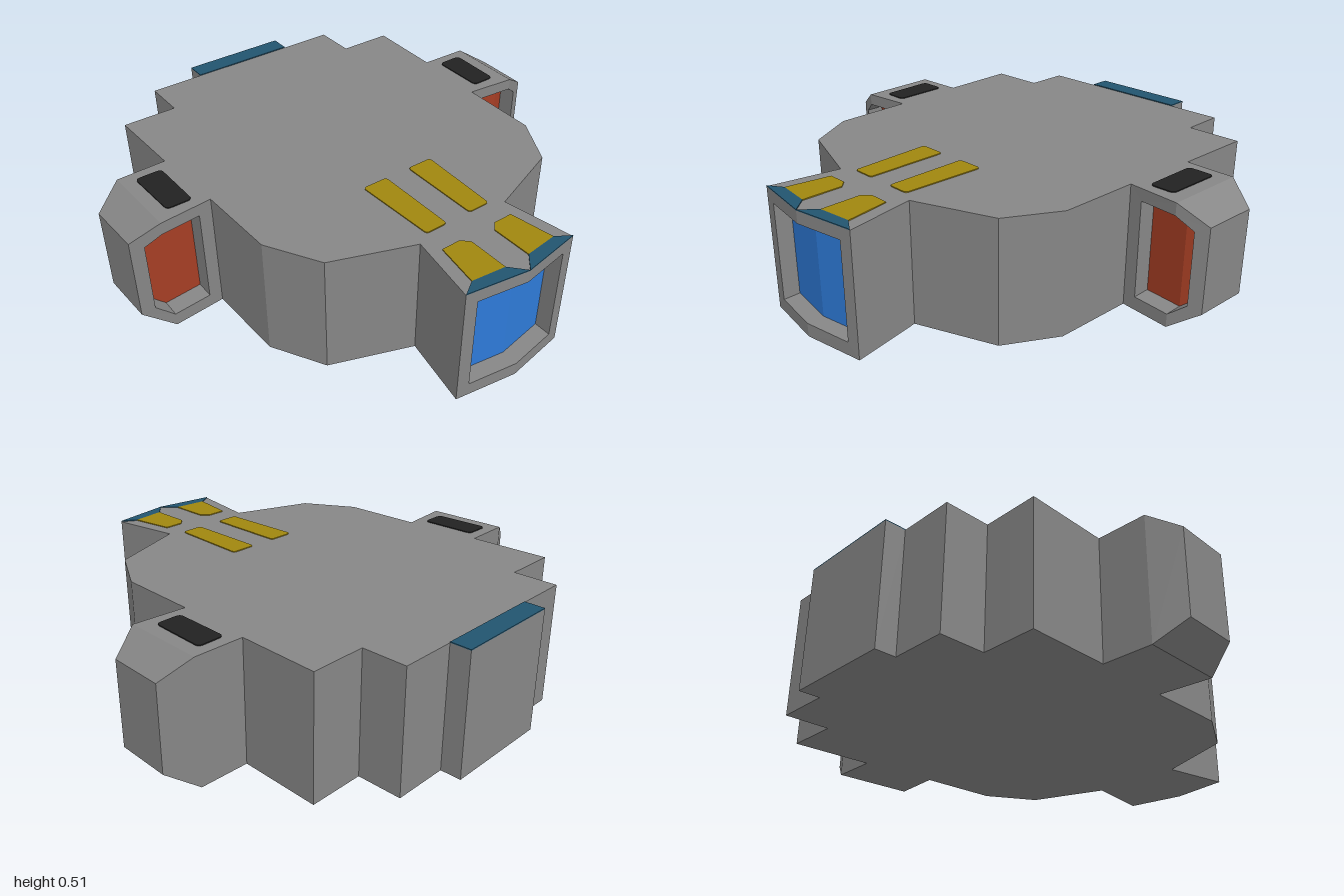
import * as THREE from 'three';

const H = 0.505; // hull height

const paint = (name, color) => {
  const m = new THREE.MeshStandardMaterial({ color });
  m.name = name;
  return m;
};

// Flat-shaded geometry from a list of convex polygons (counter-clockwise from outside)
function facets(polys) {
  const pos = [];
  for (const p of polys)
    for (let i = 1; i < p.length - 1; i++) pos.push(...p[0], ...p[i], ...p[i + 1]);
  const g = new THREE.BufferGeometry();
  g.setAttribute('position', new THREE.Float32BufferAttribute(pos, 3));
  g.computeVertexNormals();
  return g;
}
const mirrorZ = polys => polys.map(p => p.map(([x, y, z]) => [x, y, -z]).reverse());

// A strip point is [x, z, yLow, yHigh]
const lo = p => [p[0], p[2], p[1]];
const hi = p => [p[0], p[3], p[1]];
const wall = (a, b) => [lo(b), lo(a), hi(a), hi(b)];

// Window frame with a recess pushed back along -x, and the panel at its bottom
function recess(outer, open, depth) {
  const back = open.map(([x, z, l, h]) => [x - depth, z, l, h]);
  const n = open.length - 1, frame = [], panel = [];
  for (let i = 0; i < n; i++) {
    const j = i + 1;
    frame.push(
      [hi(open[j]), hi(open[i]), hi(outer[i]), hi(outer[j])],
      [lo(outer[j]), lo(outer[i]), lo(open[i]), lo(open[j])],
      [hi(back[j]), hi(back[i]), hi(open[i]), hi(open[j])],
      [lo(open[j]), lo(open[i]), lo(back[i]), lo(back[j])]);
    panel.push(wall(back[i], back[j]));
  }
  frame.push(wall(outer[0], open[0]), wall(open[n], outer[n]),
    wall(open[0], back[0]), wall(back[n], open[n]));
  return { frame, panel };
}

// Thin plate lying on the roof, with optional rounded corners; points are [x, z]
function plate(points, r = 0) {
  const v = points.map(([x, z]) => new THREE.Vector2(x, -z));
  const shape = new THREE.Shape();
  v.forEach((c, i) => {
    const toward = q => c.clone().add(q.clone().sub(c).setLength(r));
    const a = r ? toward(v[(i + v.length - 1) % v.length]) : c;
    const b = r ? toward(v[(i + 1) % v.length]) : c;
    if (i === 0) shape.moveTo(a.x, a.y); else shape.lineTo(a.x, a.y);
    if (r) shape.quadraticCurveTo(c.x, c.y, b.x, b.y);
  });
  const g = new THREE.ExtrudeGeometry(shape, { depth: 0.004, bevelEnabled: false, curveSegments: 4 });
  return g.rotateX(-Math.PI / 2).translate(0, H, 0);
}

export function createModel() {
  const grey = paint('hull grey', 0x868686);
  const teal = paint('dark teal', 0x22546f);
  const blue = paint('window blue', 0x2e7ad8);
  const red = paint('panel red', 0xa63e24);
  const yellow = paint('stripe yellow', 0xa0860e);
  const black = paint('vent black', 0x222222);

  const model = new THREE.Group();
  model.name = 'ship';
  const add = (name, geometry, material) => {
    const m = new THREE.Mesh(geometry, material);
    m.name = name;
    model.add(m);
  };

  // Half plan of the hull, nose to tail, [x, z]
  const half = [
    [0.97, 0], [0.93, 0.255], [0.64, 0.205], [0.52, 0.53], [0.31, 0.65], [-0.03, 0.66],
    [-0.01, 0.875], [-0.355, 0.885], [-0.36, 0.68], [-0.70, 0.69], [-0.70, 0.46],
    [-0.885, 0.46], [-0.885, 0.23], [-0.97, 0.23], [-0.97, 0],
  ];
  const plan = [...half, ...half.slice(1, -1).reverse().map(([x, z]) => [x, -z])];
  const cap = s => new THREE.ShapeGeometry(
    new THREE.Shape(plan.map(([x, z]) => new THREE.Vector2(x, s * z)))).rotateX(s * Math.PI / 2);
  add('hullRoof', cap(-1).translate(0, H, 0), grey);
  add('hullFloor', cap(1), grey);

  // Side walls, leaving out the nose window and the pods
  const tall = half.map(([x, z]) => [x, z, 0, H]);
  const walls = [];
  for (let i = 0; i < tall.length - 1; i++)
    if (![0, 5, 6].includes(i)) walls.push(wall(tall[i], tall[i + 1]));
  add('hullWalls', facets([...walls, ...mirrorZ(walls)]), grey);

  // Nose window
  const nose = recess(
    [[0.93, -0.255, 0, H], [0.97, 0, 0, H], [0.93, 0.255, 0, H]],
    [[0.938, -0.205, 0.055, 0.455], [0.97, 0, 0.055, 0.455], [0.938, 0.205, 0.055, 0.455]], 0.07);
  add('noseFrame', facets(nose.frame), grey);
  add('noseWindow', facets(nose.panel), blue);

  // Side pods: tapered tip and a recessed panel facing forward
  const front = tall[6], rear = tall[7];
  const frontTip = [-0.06, 0.99, 0.08, 0.43], rearTip = [-0.295, 1.0, 0.08, 0.43];
  const pod = recess(
    [tall[5], front, frontTip],
    [[-0.025, 0.715, 0.055, 0.455], [-0.01, 0.875, 0.055, 0.455], [-0.038, 0.94, 0.105, 0.405]], 0.08);
  const tip = [
    wall(frontTip, rearTip), wall(rearTip, rear),
    [hi(rearTip), hi(frontTip), hi(front), hi(rear)],
    [lo(rear), lo(front), lo(frontTip), lo(rearTip)],
  ];
  for (const s of [1, -1]) {
    const side = s > 0 ? 'left' : 'right';
    const flip = polys => facets(s > 0 ? polys : mirrorZ(polys));
    const roof = (pts, r) => plate(pts.map(([x, z]) => [x, s * z]), r);
    add(side + 'PodTip', flip(tip), grey);
    add(side + 'PodFrame', flip(pod.frame), grey);
    add(side + 'PodPanel', flip(pod.panel), red);

    // Roof markings
    add(side + 'PodVent', roof([[-0.31, 0.72], [-0.07, 0.715], [-0.07, 0.82], [-0.31, 0.83]], 0.02), black);
    add(side + 'LongStripe', roof([[0.26, 0.055], [0.61, 0.055], [0.61, 0.15], [0.26, 0.165]], 0.015), yellow);
    add(side + 'NoseStripe', roof([[0.74, 0.055], [0.908, 0.055], [0.892, 0.195], [0.71, 0.165], [0.71, 0.085]]), yellow);
    add(side + 'NoseTrim', roof([[0.97, 0], [0.93, 0.255], [0.892, 0.195], [0.908, 0.055]]), teal);
  }
  add('tailTrim', plate([[-0.97, -0.23], [-0.885, -0.23], [-0.885, 0.23], [-0.97, 0.23]]), teal);

  return model;
}
